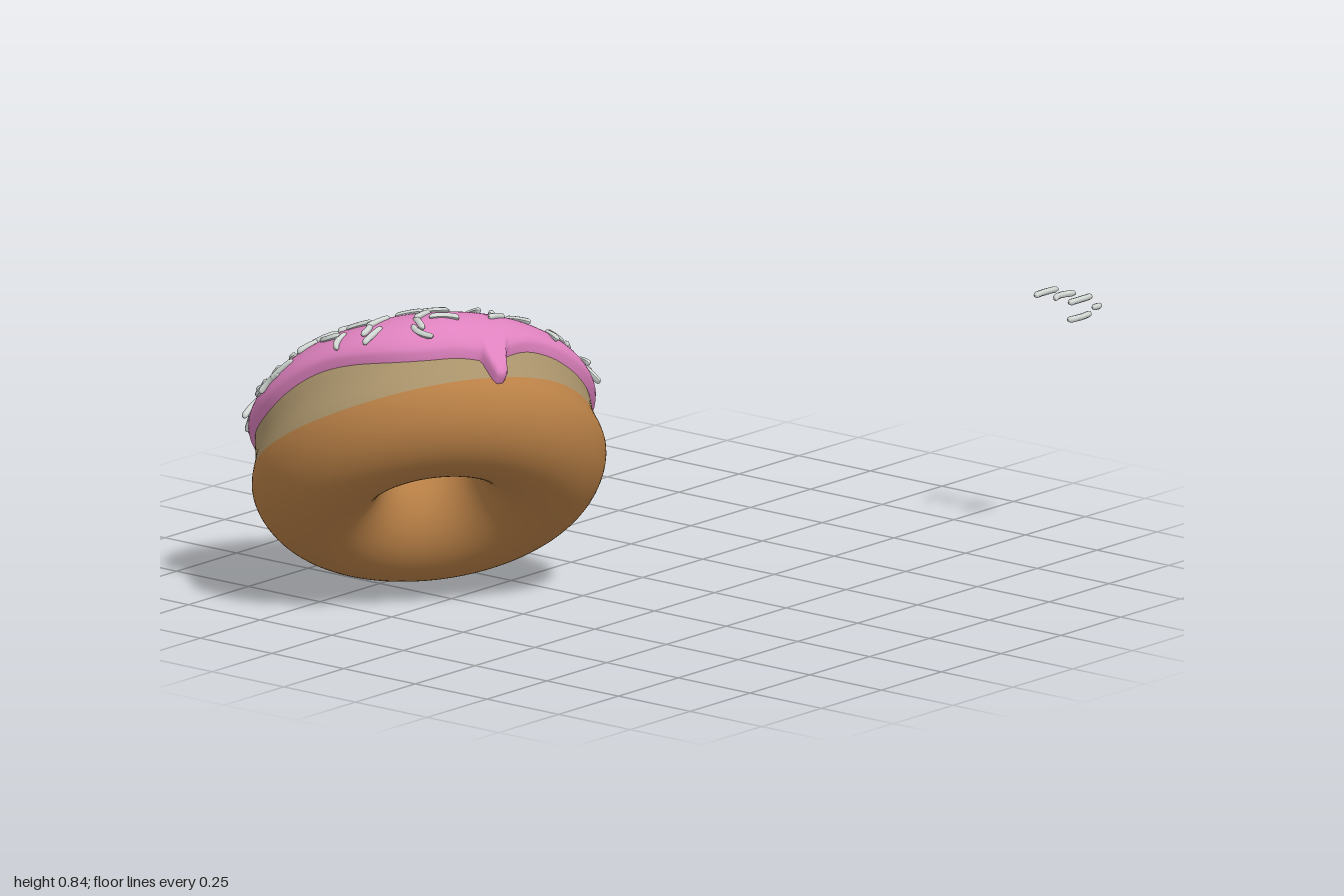
import * as THREE from 'three';
import { mergeGeometries } from 'three/addons/utils/BufferGeometryUtils.js';

const RING = 0.3, SIDE = 0.182, TOP = 0.235, BOTTOM = 0.19;
const DEG = Math.PI / 180, ICING = 0.03;
const CENTRE = new THREE.Vector3(-0.295, 0.395, 0.545);
const TILT = new THREE.Quaternion().setFromUnitVectors(
  new THREE.Vector3(0, 1, 0), new THREE.Vector3(-0.52, 0.74, -0.43).normalize());

const mat = (name, color) => {
  const m = new THREE.MeshStandardMaterial({ color });
  m.name = name;
  return m;
};

// small seeded random generator
let seed = 11;
const rand = () => {
  seed = (seed + 0x6d2b79f5) | 0;
  let r = Math.imul(seed ^ (seed >>> 15), 1 | seed);
  r = (r + Math.imul(r ^ (r >>> 7), 61 | r)) ^ r;
  return ((r ^ (r >>> 14)) >>> 0) / 4294967296;
};

// angle round the ring that points along a world direction
const ringAngle = (x, y, z) => {
  const v = new THREE.Vector3(x, y, z).applyQuaternion(TILT.clone().invert());
  return Math.atan2(v.z, v.x);
};
const angleDiff = (a, b) => Math.atan2(Math.sin(a - b), Math.cos(a - b));
const bump = (t, at, width, power = 2) => Math.exp(-((Math.abs(angleDiff(t, at)) / width) ** power));

const FRONT = ringAngle(0.5, 0, 0.8);
const FRONT_LEFT = ringAngle(0, 0.1, 0.45);
const BARE = ringAngle(1, 0.5, 0.2);
const RIGHT_BACK = ringAngle(0.45, 0.2, -0.25);
const GAP = ringAngle(-0.22, -0.3, -0.24);
const DRIPS = [
  { at: ringAngle(0.343, 0.32, 0.113), depth: 28 },
  { at: ringAngle(-0.367, -0.3, -0.01), depth: 32 },
  { at: ringAngle(-0.08, -0.27, -0.38), depth: 29 },
];
// each drip is a narrow rounded finger on a wider shoulder
const dripDepth = (t) => DRIPS.reduce(
  (s, d) => s + d.depth * (0.75 * bump(t, d.at, 0.06, 4) + 0.25 * bump(t, d.at, 0.17)), 0);
const dripBead = (t) => DRIPS.reduce((s, d) => s + bump(t, d.at, 0.06), 0);

// edge angles around the cross-section: 0 is outward, 90 degrees is the top
const icingEdge = (t) => (22 - 7 * Math.cos(2 * (t - FRONT)) + 2.5 * Math.sin(5 * t + 1)
  + 9 * bump(t, FRONT_LEFT, 0.5) + 8 * bump(t, GAP, 0.2) - dripDepth(t)) * DEG;
const crumbEdge = (t) => (-4 - 7 * Math.cos(2 * (t - FRONT)) + 1.5 * Math.sin(3 * t)
  + 9 * bump(t, RIGHT_BACK, 0.8)) * DEG;
const innerEdge = (t) => (172 + 6 * Math.sin(3 * t + 0.5)) * DEG;

// point on the ring, with a slight waist above the middle, lifted off the dough
function ringPoint(t, p, lift = 0) {
  const waist = 0.02 * Math.exp(-(((p - 14 * DEG) / (15 * DEG)) ** 2));
  const rho = RING + (SIDE - waist + lift) * Math.cos(p);
  const y = ((Math.sin(p) > 0 ? TOP : BOTTOM) + lift) * Math.sin(p);
  return new THREE.Vector3(rho * Math.cos(t), y, rho * Math.sin(t));
}

// closed strip round the ring between two edge functions
function ringStrip(from, to, lift, nt, np) {
  const pos = [], idx = [];
  for (let i = 0; i < nt; i++) {
    const t = (i / nt) * Math.PI * 2;
    for (let j = 0; j <= np; j++) {
      const s = j / np;
      pos.push(...ringPoint(t, from(t) + (to(t) - from(t)) * s, lift(t, s)).toArray());
      if (j === np) continue;
      const a = i * (np + 1) + j, b = ((i + 1) % nt) * (np + 1) + j;
      idx.push(a, a + 1, b, a + 1, b + 1, b);
    }
  }
  const g = new THREE.BufferGeometry();
  g.setAttribute('position', new THREE.Float32BufferAttribute(pos, 3));
  g.setIndex(idx);
  g.computeVertexNormals();
  return g;
}

// rounded stick, bent sideways and following the surface below
function sprinkle(length, bend, sag) {
  const g = new THREE.CapsuleGeometry(0.009, length - 0.018, 2, 7, 4);
  const p = g.attributes.position;
  for (let i = 0; i < p.count; i++) {
    const y2 = p.getY(i) ** 2;
    p.setX(i, p.getX(i) + bend * y2);
    p.setZ(i, p.getZ(i) - sag * y2);
  }
  g.computeVertexNormals();
  return g;
}

export function createModel() {
  const model = new THREE.Group();
  const donut = new THREE.Group();
  donut.name = 'donut';
  donut.position.copy(CENTRE);
  donut.quaternion.copy(TILT);
  model.add(donut);

  const dough = mat('baked dough', 0xb98046);
  const crumb = mat('pale dough', 0xa8926a);
  const pink = mat('pink icing', 0xdf82bf);
  const silver = mat('pale grey sprinkle', 0xd3d9d5);
  const add = (parent, name, geometry, material) => {
    const m = new THREE.Mesh(geometry, material);
    m.name = name;
    parent.add(m);
    return m;
  };

  // baked body and the pale band under the icing
  add(donut, 'doughBody', ringStrip(() => -205 * DEG, crumbEdge, () => 0, 128, 40), dough);
  add(donut, 'paleBand', ringStrip(crumbEdge, () => 150 * DEG, () => 0, 128, 28), crumb);

  // icing with rounded rim and drips, thicker at the drip ends
  const icingLift = (t, s) => {
    const rim = Math.sqrt(Math.max(0, 1 - Math.abs(2 * s - 1) ** 14));
    const bead = 0.012 * dripBead(t) * Math.exp(-(((s - 0.05) / 0.06) ** 2));
    const thin = 0.012 * THREE.MathUtils.smoothstep(s, 0.6, 1);
    return -0.004 + (ICING + 0.004 + bead - thin) * rim;
  };
  add(donut, 'icing', ringStrip(icingEdge, innerEdge, icingLift, 400, 56), pink);

  // sprinkles scattered over the icing, thinner on one side
  const parts = [], centres = [];
  while (parts.length < 165) {
    const t = rand() * Math.PI * 2, p = (28 + rand() * 112) * DEG, a = rand() * Math.PI;
    const spot = ringPoint(t, p, ICING + 0.003);
    const bare = p < 105 * DEG && Math.cos(t - BARE) > 0.7 && rand() < 0.6;
    if (bare || p < icingEdge(t) + 12 * DEG || rand() > Math.hypot(spot.x, spot.z) / 0.5
      || centres.some((c) => c.distanceTo(spot) < 0.04)) continue;
    centres.push(spot);
    const out = new THREE.Vector3(Math.cos(p) * Math.cos(t), Math.sin(p), Math.cos(p) * Math.sin(t));
    const around = new THREE.Vector3(-Math.sin(t), 0, Math.cos(t));
    const up = new THREE.Vector3().crossVectors(around, out);
    const dir = around.multiplyScalar(Math.cos(a)).addScaledVector(up, Math.sin(a));
    const side = new THREE.Vector3().crossVectors(dir, out);
    const bend = rand() < 0.4 ? (rand() < 0.5 ? -7 : 7) : 0;
    const g = sprinkle(rand() < 0.15 ? 0.045 : 0.082, bend, 1.2);
    g.applyMatrix4(new THREE.Matrix4().makeBasis(side, dir, out).setPosition(spot));
    parts.push(g);
  }
  add(donut, 'sprinkles', mergeGeometries(parts), silver);

  // loose sprinkles lying apart from the donut: x, y, z, length, bend
  const loose = new THREE.Group();
  loose.name = 'looseSprinkles';
  model.add(loose);
  [[0.607, 0.707, -0.953, 0.094, 2], [0.66, 0.707, -0.955, 0.085, 9], [0.73, 0.707, -0.953, 0.094, 0],
    [0.733, 0.659, -0.953, 0.094, -3], [0.77, 0.69, -0.975, 0.035, 0]].forEach(([x, y, z, l, b]) => {
    const m = add(loose, 'looseSprinkle', sprinkle(l, b, 0), silver);
    m.position.set(x, y, z);
    m.rotation.x = Math.PI / 2;
  });
  return model;
}
